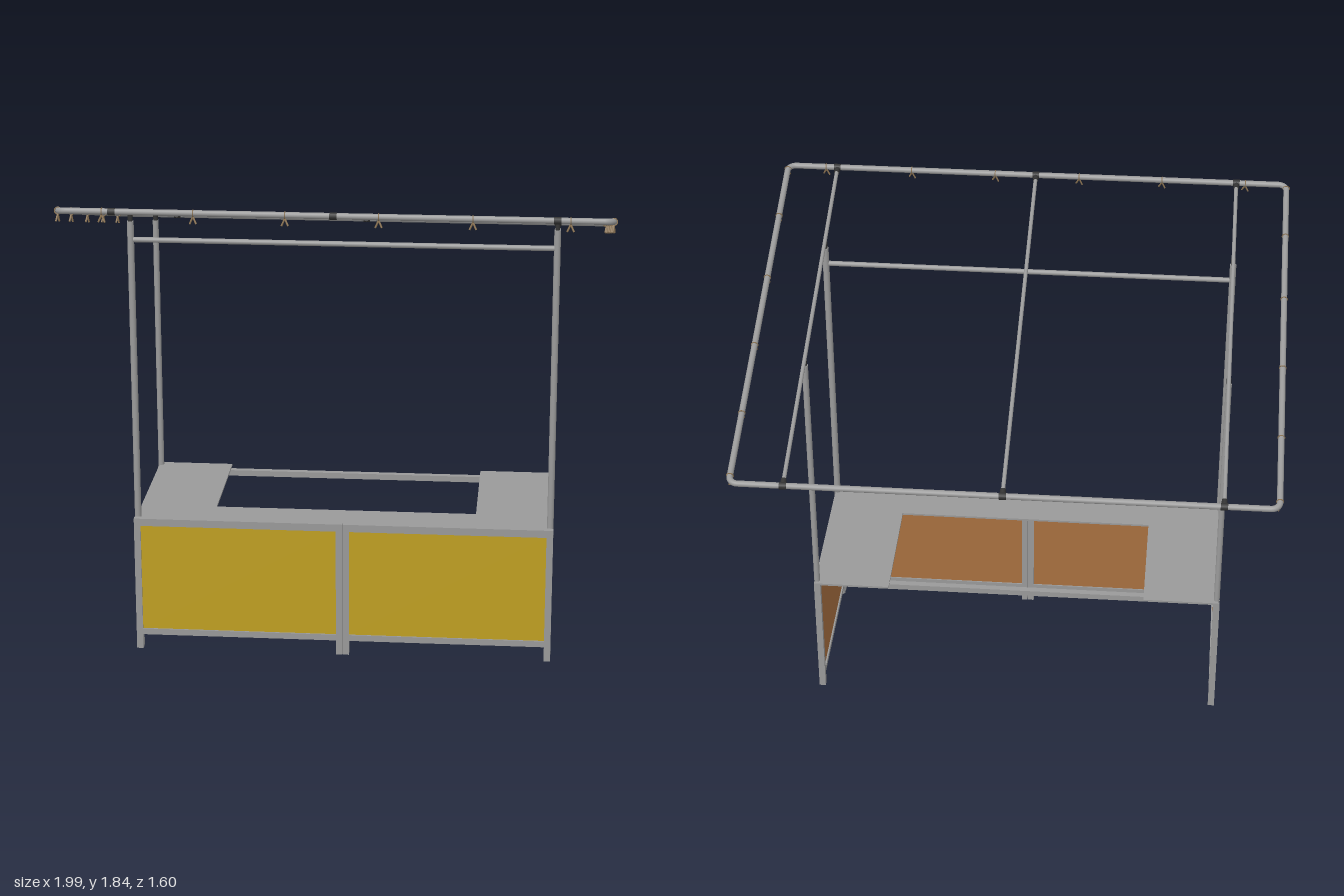
import * as THREE from 'three';

function mat(name, color) {
  const m = new THREE.MeshStandardMaterial({ color });
  m.name = name;
  return m;
}

export function createModel() {
  const metal = mat('grey metal', 0x9a9a9a);
  const yellow = mat('yellow panel', 0xbf9f22);
  const wood = mat('brown panel', 0xa87040);
  const dark = mat('dark joint', 0x333333);
  const tan = mat('tan clip', 0x8c7454);

  const model = new THREE.Group();
  model.name = 'marketStall';

  function add(parent, name, geometry, material) {
    const mesh = new THREE.Mesh(geometry, material);
    mesh.name = name;
    parent.add(mesh);
    return mesh;
  }

  // Box given by its lower and upper limits on each axis
  function box(parent, name, material, [x0, x1], [y0, y1], [z0, z1]) {
    const g = new THREE.BoxGeometry(x1 - x0, y1 - y0, z1 - z0);
    g.translate((x0 + x1) / 2, (y0 + y1) / 2, (z0 + z1) / 2);
    return add(parent, name, g, material);
  }

  // Round bar between two points
  function bar(parent, name, material, from, to, radius, sides = 14) {
    const a = new THREE.Vector3(...from);
    const b = new THREE.Vector3(...to);
    const dir = b.clone().sub(a);
    const mesh = add(parent, name, new THREE.CylinderGeometry(radius, radius, dir.length(), sides), material);
    mesh.position.copy(a).add(b).multiplyScalar(0.5);
    mesh.quaternion.setFromUnitVectors(new THREE.Vector3(0, 1, 0), dir.normalize());
    return mesh;
  }

  // ---- Counter ----
  const counter = new THREE.Group();
  counter.name = 'counter';
  model.add(counter);

  // U-shaped worktop, drawn in plan and laid flat
  const plan = new THREE.Shape([
    [-0.79, -0.397], [0.79, -0.397], [0.79, 0.23], [0.5, 0.23],
    [0.5, -0.255], [-0.5, -0.255], [-0.5, 0.23], [-0.79, 0.23],
  ].map(([x, y]) => new THREE.Vector2(x, y)));
  const top = new THREE.ExtrudeGeometry(plan, { depth: 0.008, bevelEnabled: false });
  top.rotateX(-Math.PI / 2);
  top.translate(0, 0.523, 0);
  add(counter, 'worktop', top, metal);

  // Back rail and inner rail under the worktop
  box(counter, 'backRail', metal, [-0.78, 0.78], [0.5, 0.523], [-0.202, -0.178]);
  box(counter, 'innerRail', metal, [-0.772, 0.772], [0.5, 0.523], [0.373, 0.393]);

  for (const s of [-1, 1]) {
    const span = (a, b) => (s > 0 ? [a, b] : [-b, -a]);

    // Front frame, one bay on each side of the middle
    box(counter, 'frontLeg', metal, span(0.772, 0.797), [0, 0.535], [0.397, 0.42]);
    box(counter, 'middleLeg', metal, span(0.001, 0.025), [0, 0.535], [0.397, 0.42]);
    box(counter, 'frontTopRail', metal, span(0.025, 0.772), [0.506, 0.535], [0.397, 0.42]);
    box(counter, 'frontBottomRail', metal, span(0.025, 0.772), [0.058, 0.082], [0.397, 0.42]);
    box(counter, 'frontPanelOutside', yellow, span(0.025, 0.772), [0.082, 0.506], [0.408, 0.414]);
    box(counter, 'frontPanelInside', wood, span(0.025, 0.772), [0.082, 0.506], [0.402, 0.408]);

    // Side frame
    box(counter, 'backLeg', metal, span(0.772, 0.797), [0, 0.523], [-0.22, -0.196]);
    box(counter, 'sideTopRail', metal, span(0.772, 0.795), [0.499, 0.523], [-0.196, 0.373]);
    box(counter, 'sideBottomRail', metal, span(0.772, 0.795), [0.055, 0.075], [-0.196, 0.373]);
    box(counter, 'sidePanelOutside', yellow, span(0.784, 0.79), [0.075, 0.499], [-0.196, 0.373]);
    box(counter, 'sidePanelInside', wood, span(0.778, 0.784), [0.075, 0.499], [-0.196, 0.373]);

    // Posts with dark pins that carry the roof
    const x = s * 0.785;
    bar(model, 'frontPost', metal, [x, 0, 0.385], [x, 1.695, 0.385], 0.0125, 18);
    bar(model, 'frontPostPin', dark, [x, 1.69, 0.385], [x, 1.722, 0.385], 0.009);
    bar(model, 'backPost', metal, [x, 0.52, -0.207], [x, 1.545, -0.207], 0.0115, 18);
    bar(model, 'backPostPin', dark, [x, 1.54, -0.207], [x, 1.568, -0.207], 0.009);
  }
  bar(model, 'postCrossbar', metal, [-0.775, 1.625, 0.387], [0.775, 1.625, 0.387], 0.01);

  // ---- Sloping roof frame, built flat and tilted up at the front ----
  const tilt = 0.259;
  const roof = new THREE.Group();
  roof.name = 'roofFrame';
  roof.position.set(0, 1.623, -0.007);
  roof.rotation.x = -tilt;
  model.add(roof);

  const W = 0.98, D = 0.81, R = 0.03, T = 0.0115;
  for (const s of [-1, 1]) {
    bar(roof, 'longRail', metal, [-W + R, 0, s * D], [W - R, 0, s * D], T);
    bar(roof, 'sideRail', metal, [s * W, 0, -D + R], [s * W, 0, D - R], T);
  }
  for (let k = 0; k < 4; k++) {
    const sx = k < 2 ? 1 : -1;
    const sz = k === 0 || k === 3 ? 1 : -1;
    const g = new THREE.TorusGeometry(R, T, 12, 8, Math.PI / 2);
    g.rotateX(Math.PI / 2);
    g.rotateY(k * Math.PI / 2);
    add(roof, 'roundedCorner', g, metal).position.set(sx * (W - R), 0, sz * (D - R));
  }

  // Roof crossbars with dark sleeves on the long rails
  for (const x of [-0.785, 0, 0.785]) {
    bar(roof, 'roofCrossbar', metal, [x, 0, -D], [x, 0, D], 0.0075);
    for (const s of [-1, 1]) {
      bar(roof, 'railSleeve', dark, [x - 0.013, 0, s * D], [x + 0.013, 0, s * D], 0.0135);
      bar(roof, 'crossbarSleeve', dark, [x, 0, s * (D - 0.03)], [x, 0, s * (D - 0.008)], 0.0105);
    }
  }

  // ---- Small hanging clips: a ring round the rail and two splayed prongs ----
  function clip(x, z, alongX) {
    const g = new THREE.Group();
    g.name = 'hangingClip';
    g.position.set(x, 0, z);
    g.rotation.y = alongX ? 0 : Math.PI / 2;
    const ring = new THREE.TorusGeometry(0.0125, 0.002, 6, 14);
    ring.rotateY(Math.PI / 2);
    add(g, 'clipRing', ring, tan);
    for (const s of [-1, 1]) {
      bar(g, 'clipProng', tan, [0, -0.012, 0], [s * 0.012, -0.038, s * 0.004], 0.0035, 6);
    }
    roof.add(g);
  }
  for (const x of [-0.82, -0.495, -0.17, 0.16, 0.49, 0.83]) clip(x, D, true);
  for (const z of [0.79, 0.53, 0.2, -0.145, -0.48, -0.775]) {
    for (const s of [-1, 1]) clip(s * W, z, false);
  }

  return model;
}
